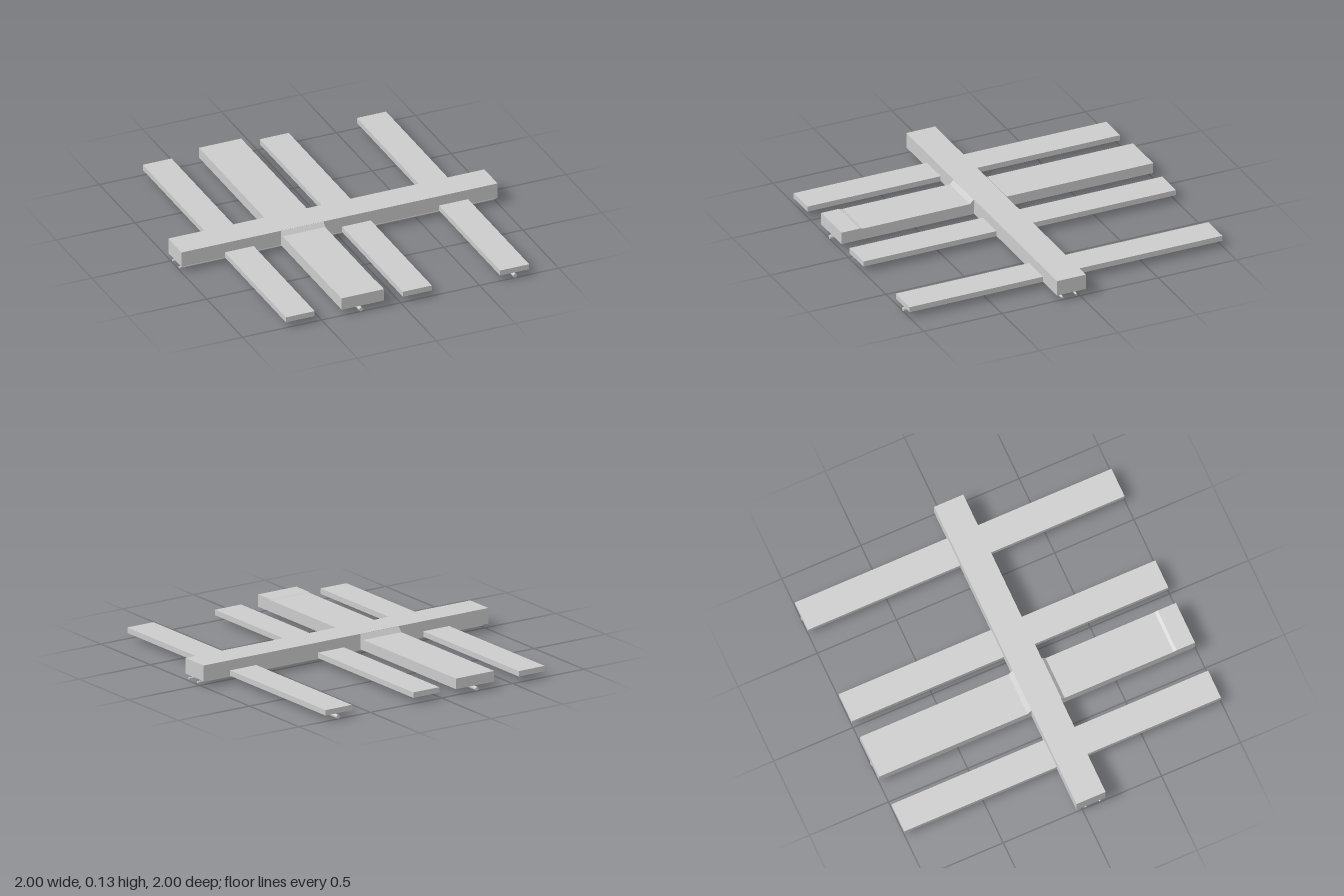
import * as THREE from 'three';

export function createModel() {
  const model = new THREE.Group();
  const grey = new THREE.MeshStandardMaterial({ color: 0xcccccc, flatShading: true });
  const smooth = new THREE.MeshStandardMaterial({ color: 0xcccccc });

  const add = (name, geometry, material = grey) => {
    const mesh = new THREE.Mesh(geometry, material);
    mesh.name = name;
    model.add(mesh);
    return mesh;
  };

  // box given by its limits on each axis
  const slab = (name, x0, x1, y0, y1, z0, z1) =>
    add(name, new THREE.BoxGeometry(x1 - x0, y1 - y0, z1 - z0))
      .position.set((x0 + x1) / 2, (y0 + y1) / 2, (z0 + z1) / 2);

  const base = 0.035;

  // main crossing beam
  slab('mainBeam', -1, 1, base, 0.129, -0.037, 0.147);

  // three low planks running under the beam
  for (const [x0, x1] of [[-0.725, -0.543], [0.015, 0.198], [0.63, 0.814]]) {
    slab('lowPlank', x0, x1, base, 0.068, -1, 1);
  }

  // wide plank: side profile in (z, y) with ramps up to the beam
  const profile = [
    [-1, base], [0.995, base], [0.995, 0.11], [0.88, 0.11], [0.86, 0.105], [0.172, 0.105],
    [0.15, 0.128], [-0.037, 0.128], [-0.064, 0.099], [-1, 0.099],
  ].map(([z, y]) => new THREE.Vector2(-z, y));
  const wide = new THREE.ExtrudeGeometry(new THREE.Shape(profile), { depth: 0.268, bevelEnabled: false });
  wide.rotateY(Math.PI / 2);
  add('widePlank', wide).position.x = -0.37;

  // round rods below: two along the beam, two along the planks
  const rod = (name, radius) => add(name, new THREE.CylinderGeometry(radius, radius, 2, 16), smooth);
  const beamRodZ = [0.022, 0.112];
  const plankRodX = [-0.25, 0.725];
  for (const z of beamRodZ) {
    const r = rod('beamRod', 0.007);
    r.rotation.z = Math.PI / 2;
    r.position.set(0, 0.014, z);
  }
  for (const x of plankRodX) {
    const r = rod('plankRod', 0.012);
    r.rotation.x = Math.PI / 2;
    r.position.set(x, 0.012, 0);
  }

  // thin hangers joining the rods to the beam and planks
  const hanger = (x, z) =>
    add('hanger', new THREE.CylinderGeometry(0.003, 0.003, 0.024, 8), smooth).position.set(x, 0.025, z);
  for (const z of beamRodZ) for (const x of [-0.185, 0.09, 0.335]) hanger(x, z);
  for (const x of plankRodX) hanger(x, -0.215);

  return model;
}
